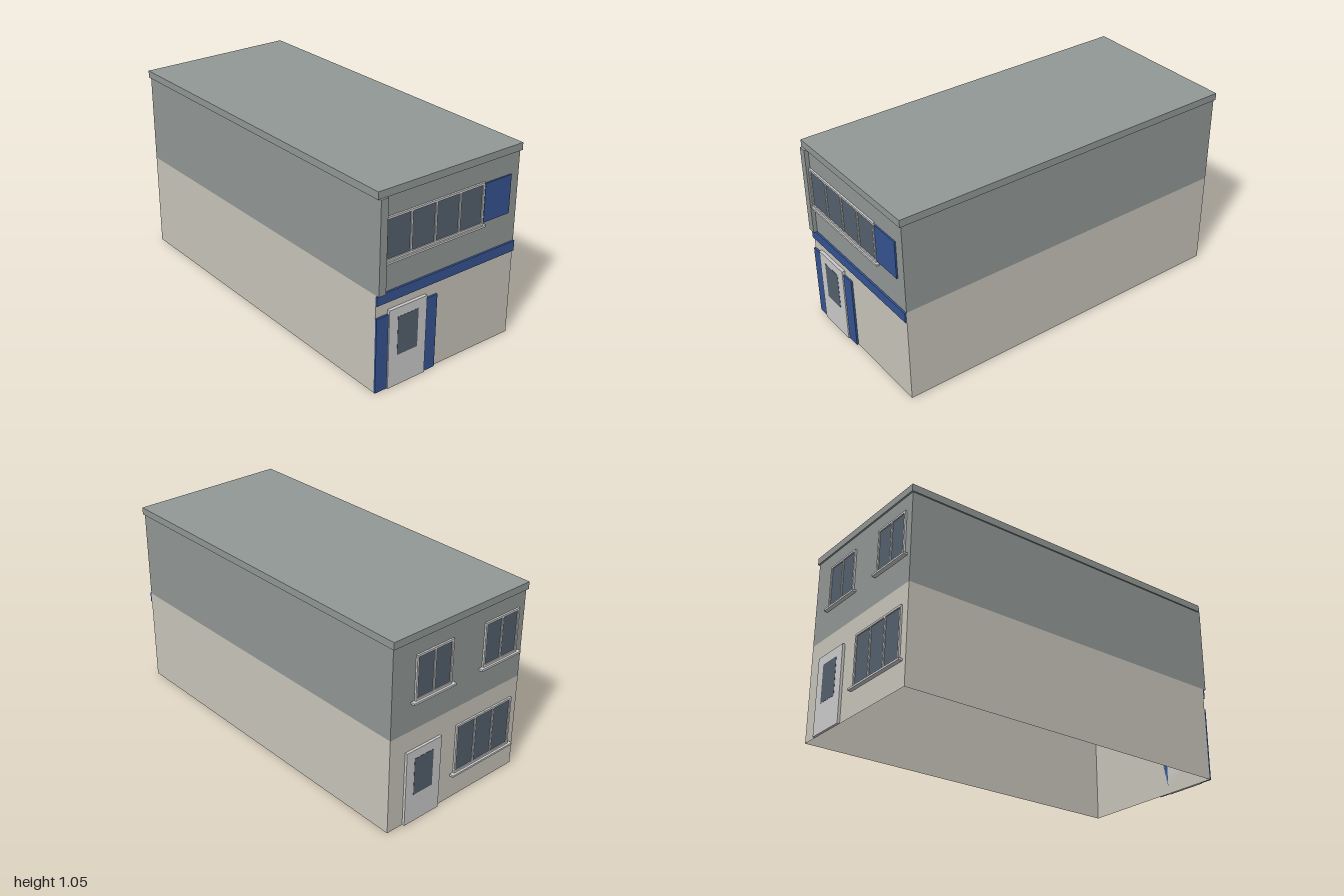
import * as THREE from 'three';

const mat = (color, side = THREE.FrontSide) => new THREE.MeshStandardMaterial({ color, side });
const render = mat(0x929896, THREE.DoubleSide);
const stone = mat(0xc8c5ba, THREE.DoubleSide);
const roofGrey = mat(0x929896);
const blue = mat(0x365492);
const glass = mat(0x55616e);
const trim = mat(0xcccccc);

const W = 0.442, D = 0.978; // half width and half depth of the walls

// Box given by its extents on each axis
function block(parent, name, material, [x0, x1], [y0, y1], [z0, z1]) {
  const mesh = new THREE.Mesh(new THREE.BoxGeometry(x1 - x0, y1 - y0, z1 - z0), material);
  mesh.position.set((x0 + x1) / 2, (y0 + y1) / 2, (z0 + z1) / 2);
  mesh.name = name;
  parent.add(mesh);
  return mesh;
}

// Four thin walls around the plan, open above and below
function storey(name, material, y0, y1) {
  const group = new THREE.Group();
  group.name = name;
  for (let i = 0; i < 4; i++) {
    const alongX = i % 2 === 0;
    const wall = new THREE.Mesh(new THREE.PlaneGeometry(alongX ? 2 * W : 2 * D, y1 - y0), material);
    const angle = i * Math.PI / 2, reach = alongX ? D : W;
    wall.position.set(Math.sin(angle) * reach, (y0 + y1) / 2, Math.cos(angle) * reach);
    wall.rotation.y = angle;
    wall.name = name + 'Wall';
    group.add(wall);
  }
  return group;
}

function rect(path, x0, x1, y0, y1) {
  path.moveTo(x0, y0);
  path.lineTo(x1, y0);
  path.lineTo(x1, y1);
  path.lineTo(x0, y1);
  path.closePath();
  return path;
}

// Frame with a row of equal panes, glass set back, and a projecting sill
function windowUnit(parent, name, [x0, x1], [y0, y1], panes, sillZ) {
  const group = new THREE.Group();
  group.name = name;
  const edge = 0.011, bar = 0.01;
  const paneWidth = (x1 - x0 - 2 * edge - (panes - 1) * bar) / panes;
  const shape = rect(new THREE.Shape(), x0, x1, y0, y1);
  for (let i = 0; i < panes; i++) {
    const px = x0 + edge + i * (paneWidth + bar);
    shape.holes.push(rect(new THREE.Path(), px, px + paneWidth, y0 + edge, y1 - edge));
  }
  const frame = new THREE.Mesh(new THREE.ExtrudeGeometry(shape, { depth: 0.01, bevelEnabled: false }), trim);
  frame.position.z = D;
  frame.name = 'windowFrame';
  group.add(frame);
  block(group, 'windowGlass', glass, [x0 + 0.005, x1 - 0.005], [y0 + 0.005, y1 - 0.005], [D, D + 0.004]);
  block(group, 'windowSill', trim, [x0 - 0.02, x1 + 0.02], [y0 - 0.011, y0], [D, sillZ]);
  parent.add(group);
  return group;
}

// Plain slab door with one glazed panel
function door(parent, x, height, z) {
  const group = new THREE.Group();
  group.name = 'door';
  block(group, 'doorSlab', trim, [x - 0.116, x + 0.116], [0, height], [D, z]);
  block(group, 'doorGlass', glass, [x - 0.063, x + 0.063], [height - 0.26, height - 0.05], [z - 0.002, z + 0.001]);
  parent.add(group);
}

export function createModel() {
  const model = new THREE.Group();
  model.name = 'terraceBuilding';

  // Shell and flat roof
  model.add(storey('groundFloor', stone, 0, 0.53), storey('upperFloor', render, 0.53, 1.02));
  block(model, 'roof', roofGrey, [-0.45, 0.448], [1.015, 1.054], [-0.987, 0.988]);

  // Street side
  const front = new THREE.Group();
  front.name = 'frontFacade';
  block(front, 'cornerPier', roofGrey, [-W, -0.4], [0.53, 1.017], [D, 1]);
  block(front, 'fasciaBand', blue, [-W, W], [0.475, 0.53], [D, 0.988]);
  block(front, 'sidePanel', blue, [0.215, 0.387], [0.698, 0.904], [D, 0.986]);
  block(front, 'doorSurroundRight', blue, [-W, -0.37], [0, 0.408], [D, 0.988]);
  block(front, 'doorSurroundLeft', blue, [-0.138, -0.066], [0, 0.408], [D, 0.988]);
  door(front, -0.254, 0.43, 0.995);
  const wide = windowUnit(front, 'frontWindow', [-0.4, 0.21], [0.688, 0.912], 4, 0.996);
  // The sill stops against the corner pier
  const sill = wide.getObjectByName('windowSill');
  sill.scale.x = 0.625 / 0.65;
  sill.position.x = -0.0875;
  model.add(front);

  // Rear side, built facing +z and turned round
  const back = new THREE.Group();
  back.name = 'rearFacade';
  windowUnit(back, 'rearWindowUpper', [-0.297, -0.058], [0.69, 0.932], 2, 1);
  windowUnit(back, 'rearWindowUpper', [0.159, 0.397], [0.69, 0.932], 2, 1);
  windowUnit(back, 'rearWindowLower', [0, 0.397], [0.145, 0.425], 3, 1);
  door(back, -0.226, 0.42, 0.992);
  back.rotation.y = Math.PI;
  model.add(back);

  return model;
}
